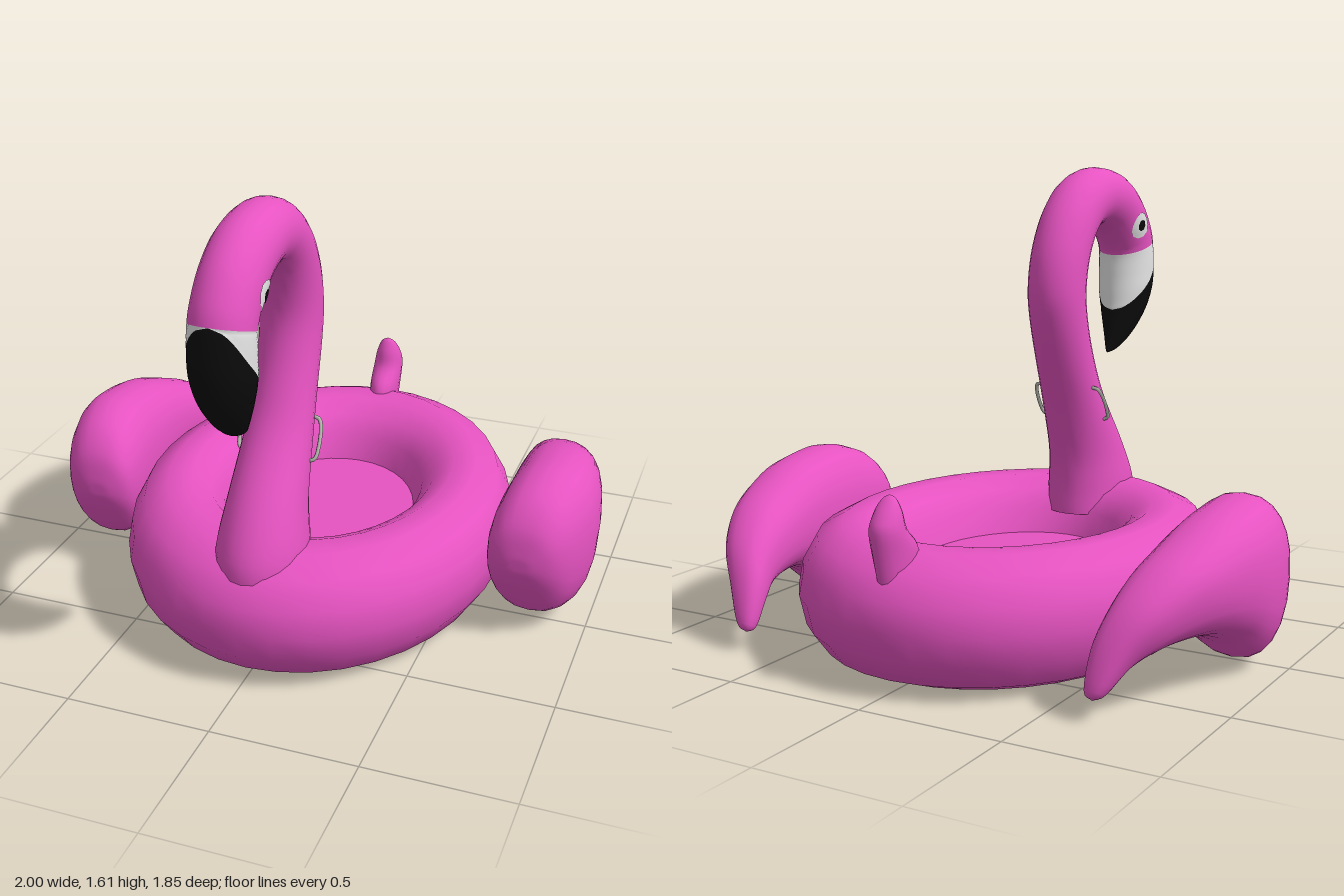
import * as THREE from 'three';
import { mergeVertices } from 'three/addons/utils/BufferGeometryUtils.js';

const mat = (name, color, side = THREE.FrontSide) => {
  const m = new THREE.MeshStandardMaterial({ color, side });
  m.name = name;
  return m;
};

// Smooth skin through sections [za, ya, zb, yb, halfWidth, centreX]; a and b are opposite edge points.
// from/to are section indices, arc(t) gives the angle range, power < 1 makes sections boxier.
function loft(sections, { from = 0, to = sections.length - 1, rows = 40, cols = 24, power = 1,
  arc = () => [0, Math.PI * 2] } = {}) {
  const last = sections.length - 1;
  const edge = (f) => new THREE.CatmullRomCurve3(sections.map(f), false, 'catmullrom', 0.5);
  const curveA = edge(([za, ya, , , , cx = 0]) => new THREE.Vector3(cx, ya, za));
  const curveB = edge(([, , zb, yb, hw]) => new THREE.Vector3(hw, yb, zb));
  const soft = (v) => Math.sign(v) * Math.abs(v) ** power;
  const pos = [], index = [];
  for (let i = 0; i <= rows; i++) {
    const t = from + (to - from) * i / rows;
    const a = curveA.getPoint(t / last), b = curveB.getPoint(t / last);
    const [start, end] = arc(t);
    for (let j = 0; j <= cols; j++) {
      const angle = start + (end - start) * j / cols;
      const c = soft(Math.cos(angle)), s = soft(Math.sin(angle));
      pos.push(a.x + s * Math.max(b.x, 0),
        (a.y + b.y) / 2 + c * (a.y - b.y) / 2,
        (a.z + b.z) / 2 + c * (a.z - b.z) / 2);
      if (i < rows && j < cols) {
        const p = i * (cols + 1) + j, q = p + cols + 1;
        index.push(p, q, q + 1, p, q + 1, p + 1);
      }
    }
  }
  const g = new THREE.BufferGeometry();
  g.setAttribute('position', new THREE.Float32BufferAttribute(pos, 3));
  g.setIndex(index);
  const merged = mergeVertices(g, 1e-5);
  merged.computeVertexNormals();
  return merged;
}

export function createModel() {
  const model = new THREE.Group();
  model.name = 'inflatableBirdFloat';
  const pink = mat('pink vinyl', 0xe653c1);
  const white = mat('white', 0xe6e6e6);
  const black = mat('black', 0x0b0b0b);
  const grey = mat('handle grey', 0xb9bcb2);
  const add = (name, geometry, material) => {
    const mesh = new THREE.Mesh(geometry, material);
    mesh.name = name;
    model.add(mesh);
    return mesh;
  };

  // Oval ring with its recessed floor and flat underside
  const stretch = 1.25, ringZ = -0.07;
  const profile = [[0.53, 0], [0.61, 0.04], [0.66, 0.12], [0.68, 0.22], [0.665, 0.31], [0.62, 0.395],
    [0.54, 0.438], [0.46, 0.438], [0.395, 0.4], [0.35, 0.34], [0.32, 0.25]];
  const place = (g, y) => g.scale(1, 1, stretch).translate(0, y, ringZ);
  add('ring', place(new THREE.LatheGeometry(profile.map(([r, y]) => new THREE.Vector2(r, y)), 36), 0), pink);
  add('floor', place(new THREE.CircleGeometry(0.322, 36).rotateX(-Math.PI / 2), 0.25), pink);
  add('underside', place(new THREE.CircleGeometry(0.53, 36).rotateX(Math.PI / 2), 0), pink);

  // Neck, head and hooked beak share one run of sections
  const neck = [
    [0.325, 0.33, 0.72, 0.33, 0.155], [0.33, 0.445, 0.71, 0.44, 0.15],
    [0.32, 0.555, 0.63, 0.59, 0.132], [0.27, 0.73, 0.475, 0.795, 0.115],
    [0.206, 0.9, 0.405, 0.94, 0.107], [0.156, 1.05, 0.365, 1.07, 0.105],
    [0.137, 1.17, 0.355, 1.17, 0.105], [0.16, 1.31, 0.375, 1.26, 0.105],
    [0.23, 1.445, 0.415, 1.335, 0.105], [0.33, 1.545, 0.465, 1.378, 0.105],
    [0.44, 1.595, 0.51, 1.39, 0.105], [0.55, 1.605, 0.55, 1.39, 0.105],
    [0.686, 1.58, 0.61, 1.365, 0.105], [0.8, 1.51, 0.655, 1.33, 0.105],
    [0.874, 1.42, 0.685, 1.3, 0.105], [0.91, 1.34, 0.702, 1.27, 0.105],
    [0.925, 1.23, 0.7, 1.2, 0.105], [0.92, 1.15, 0.695, 1.13, 0.102],
    [0.895, 1.07, 0.69, 1.06, 0.086], [0.845, 0.995, 0.677, 1.0, 0.062],
    [0.78, 0.94, 0.665, 0.95, 0.038], [0.71, 0.908, 0.655, 0.915, 0.018],
    [0.652, 0.898, 0.65, 0.9, 0.002]];
  const beakStart = 15, whiteEnd = 18;
  const split = (t) => Math.acos(1 - 2 * Math.min(1, (t - beakStart) / (whiteEnd - beakStart)));
  add('neckAndHead', loft(neck, { to: beakStart, rows: 60 }), pink);
  add('beakBase', loft(neck, { from: beakStart, to: whiteEnd, rows: 24,
    arc: (t) => [split(t), Math.PI * 2 - split(t)] }), white);
  add('beakTip', loft(neck, { from: beakStart, rows: 56, arc: (t) => [-split(t), split(t)] }), black);

  // Upright tail
  add('tail', loft([
    [-0.86, 0.32, -0.68, 0.38, 0.05], [-0.885, 0.42, -0.7, 0.46, 0.055],
    [-0.9, 0.52, -0.765, 0.52, 0.055], [-0.88, 0.57, -0.785, 0.58, 0.045],
    [-0.845, 0.612, -0.805, 0.62, 0.026], [-0.82, 0.632, -0.82, 0.632, 0]],
  { rows: 20, cols: 16 }), pink);

  // Wing sections from the drooping rear tip to the round front
  const wing = [
    [-0.735, 0.065, -0.735, 0.065, 0, 0.655], [-0.754, 0.1, -0.7, 0.075, 0.033, 0.66],
    [-0.72, 0.23, -0.636, 0.143, 0.065, 0.69], [-0.66, 0.34, -0.56, 0.183, 0.095, 0.735],
    [-0.56, 0.43, -0.44, 0.193, 0.125, 0.775], [-0.44, 0.49, -0.33, 0.177, 0.145, 0.805],
    [-0.29, 0.545, -0.215, 0.124, 0.16, 0.825], [-0.14, 0.57, -0.126, 0.06, 0.168, 0.832],
    [-0.017, 0.573, -0.04, 0.03, 0.168, 0.828], [0.107, 0.53, 0.08, 0.075, 0.15, 0.81],
    [0.18, 0.45, 0.16, 0.185, 0.115, 0.795], [0.204, 0.36, 0.2, 0.27, 0.055, 0.79],
    [0.206, 0.315, 0.206, 0.315, 0, 0.79]];

  // Eye plates are bent to follow the round side of the head
  const eyePlate = (g, side, lift) => {
    const p = g.attributes.position;
    for (let i = 0; i < p.count; i++) {
      const z = 0.725 - side * p.getX(i), y = 1.385 + p.getY(i);
      const off = ((z - 0.725) * 0.65 + (y - 1.42) * 0.76) / 0.118;
      p.setXYZ(i, side * (0.105 * Math.sqrt(1 - off * off) + lift), y, z);
    }
    g.computeVertexNormals();
    return g;
  };

  for (const [side, label] of [[1, 'left'], [-1, 'right']]) {
    add(label + 'Wing', loft(wing.map((s) => [...s.slice(0, 5), s[5] * side]), { rows: 48, power: 0.85 }), pink);
    add(label + 'EyeWhite', eyePlate(new THREE.RingGeometry(0.001, 0.05, 12, 4), side, 0.003), white);
    add(label + 'Pupil', eyePlate(new THREE.RingGeometry(0.001, 0.022, 8, 2), side, 0.006), black);

    // Small grab handle on the neck
    const path = new THREE.CatmullRomCurve3([[0.1, 0.685, 0.395], [0.132, 0.695, 0.392], [0.14, 0.735, 0.37],
      [0.135, 0.79, 0.338], [0.125, 0.81, 0.326], [0.095, 0.815, 0.322]]
      .map(([x, y, z]) => new THREE.Vector3(x * side, y, z)));
    add(label + 'Handle', new THREE.TubeGeometry(path, 20, 0.007, 6), grey);
  }
  return model;
}
